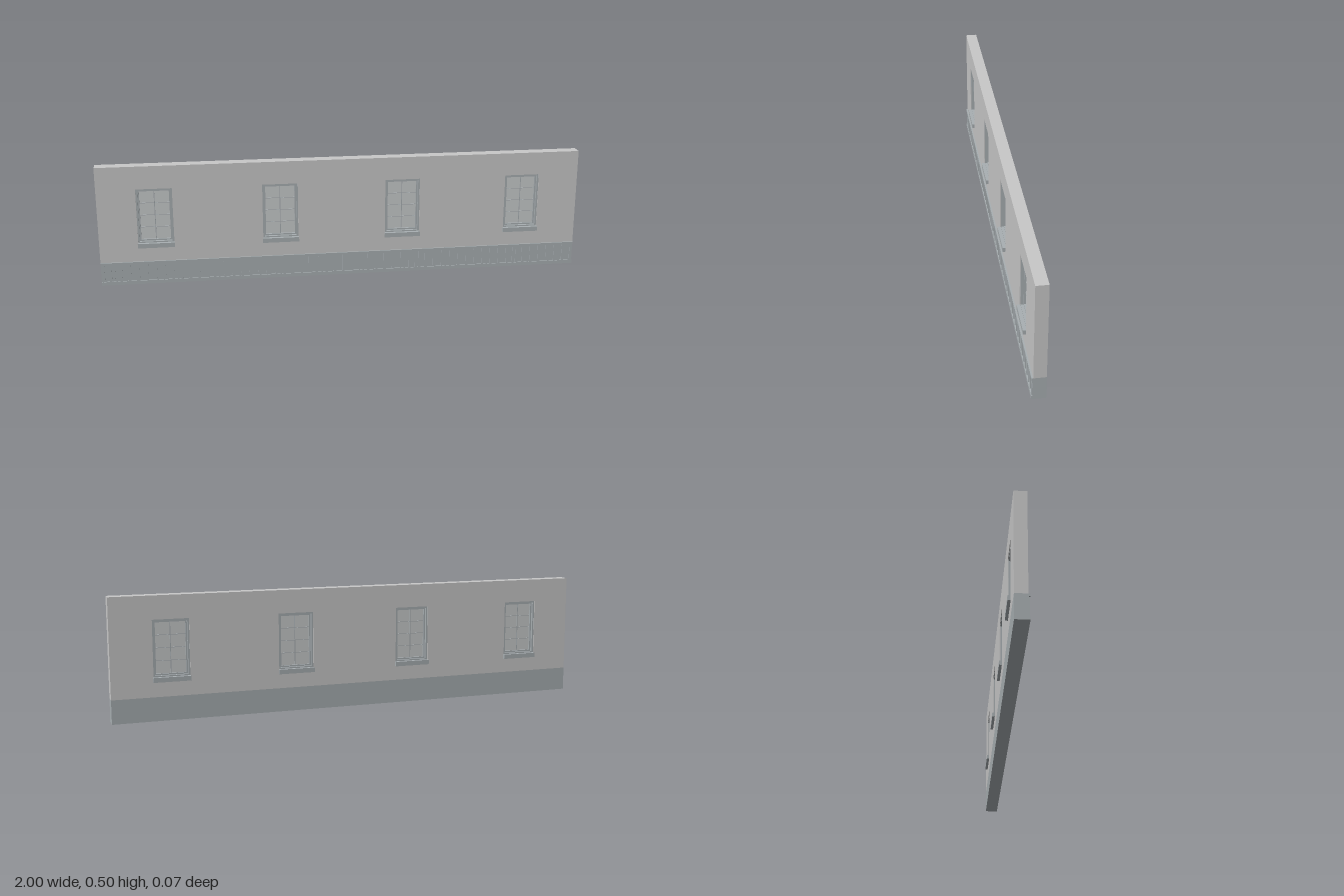
import * as THREE from 'three';

const wallMat = new THREE.MeshStandardMaterial({ color: 0xc8c8c8 });
wallMat.name = 'wallPlaster';
const trimMat = new THREE.MeshStandardMaterial({ color: 0xa8afb2 });
trimMat.name = 'greyTrim';
const paneMat = new THREE.MeshStandardMaterial({ color: 0xc8cbcc });
paneMat.name = 'paleGlass';

const HALF = 0.024;                         // half the wall thickness
const BAND = 0.097;                         // height of the coloured base
const WINDOWS = [-0.77, -0.26, 0.25, 0.76];
const OPEN = { w: 0.146, y0: 0.174, y1: 0.405 };

function box(parent, name, mat, x0, x1, y0, y1, z0, z1) {
  const mesh = new THREE.Mesh(new THREE.BoxGeometry(x1 - x0, y1 - y0, z1 - z0), mat);
  mesh.position.set((x0 + x1) / 2, (y0 + y1) / 2, (z0 + z1) / 2);
  mesh.name = name;
  parent.add(mesh);
  return mesh;
}

// Adds a rectangle outline to a shape or path
function rect(path, x0, x1, y0, y1) {
  path.moveTo(x0, y0);
  path.lineTo(x1, y0);
  path.lineTo(x1, y1);
  path.lineTo(x0, y1);
  path.closePath();
  return path;
}

// Rectangular ring centred on z = 0
function ring(parent, name, w, y0, y1, t, halfDepth) {
  const shape = rect(new THREE.Shape(), -w / 2, w / 2, y0, y1);
  shape.holes.push(rect(new THREE.Path(), -w / 2 + t, w / 2 - t, y0 + t, y1 - t));
  const geo = new THREE.ExtrudeGeometry(shape, { depth: halfDepth * 2, bevelEnabled: false });
  geo.translate(0, 0, -halfDepth);
  const mesh = new THREE.Mesh(geo, trimMat);
  mesh.name = name;
  parent.add(mesh);
}

function createWindow(x) {
  const g = new THREE.Group();
  g.name = 'window';
  g.position.x = x;
  const { w, y0, y1 } = OPEN;

  // Stepped frame, seen alike from both sides
  ring(g, 'outerFrame', w, y0, y1, 0.007, 0.021);
  ring(g, 'sash', w - 0.014, y0 + 0.007, y1 - 0.007, 0.006, 0.010);
  const px = w / 2 - 0.013, py0 = y0 + 0.013, py1 = y1 - 0.013;
  box(g, 'pane', paneMat, -px, px, py0, py1, -0.002, 0.002);

  // Glazing bars: two columns by four rows
  box(g, 'verticalBar', trimMat, -0.0015, 0.0015, py0, py1, -0.005, 0.005);
  for (let i = 1; i < 4; i++) {
    const y = py0 + (py1 - py0) * i / 4;
    box(g, 'horizontalBar', trimMat, -px, px, y - 0.001, y + 0.001, -0.004, 0.004);
  }

  // Sills projecting on both faces
  for (const s of [-1, 1]) {
    const a = s * 0.02, b = s * 0.035;
    box(g, 'sill', trimMat, -0.075, 0.075, 0.157, 0.176, Math.min(a, b), Math.max(a, b));
  }
  return g;
}

function createWainscot() {
  const g = new THREE.Group();
  g.name = 'wainscot';
  box(g, 'base', trimMat, -1, 1, 0, BAND, -HALF, HALF + 0.001);
  box(g, 'bottomRail', trimMat, -1, 1, 0, 0.015, HALF, 0.030);
  box(g, 'topRail', trimMat, -1, 1, 0.087, BAND, HALF, 0.030);

  // Battens in repeating lengths, with a close pair at each seam
  const length = 0.425, count = 12, step = length / count;
  for (let start = -1.38; start < 1; start += length) {
    for (let i = 0; i < count; i++) {
      const x = start + i * step;
      const spots = i === 0 ? [x - 0.007, x + 0.007] : [x];
      for (const c of spots) {
        if (Math.abs(c) > 0.995) continue;
        box(g, 'batten', trimMat, c - 0.005, c + 0.005, 0.015, 0.087, HALF, 0.0285);
      }
    }
  }
  return g;
}

export function createModel() {
  const model = new THREE.Group();
  model.name = 'wallWithWindows';

  // Upper wall with four openings
  const shape = rect(new THREE.Shape(), -1, 1, BAND, 0.5);
  for (const x of WINDOWS) {
    shape.holes.push(rect(new THREE.Path(), x - OPEN.w / 2, x + OPEN.w / 2, OPEN.y0, OPEN.y1));
  }
  const geo = new THREE.ExtrudeGeometry(shape, { depth: HALF * 2, bevelEnabled: false });
  geo.translate(0, 0, -HALF);
  const wall = new THREE.Mesh(geo, wallMat);
  wall.name = 'upperWall';
  model.add(wall);

  model.add(createWainscot());
  for (const x of WINDOWS) model.add(createWindow(x));
  return model;
}
